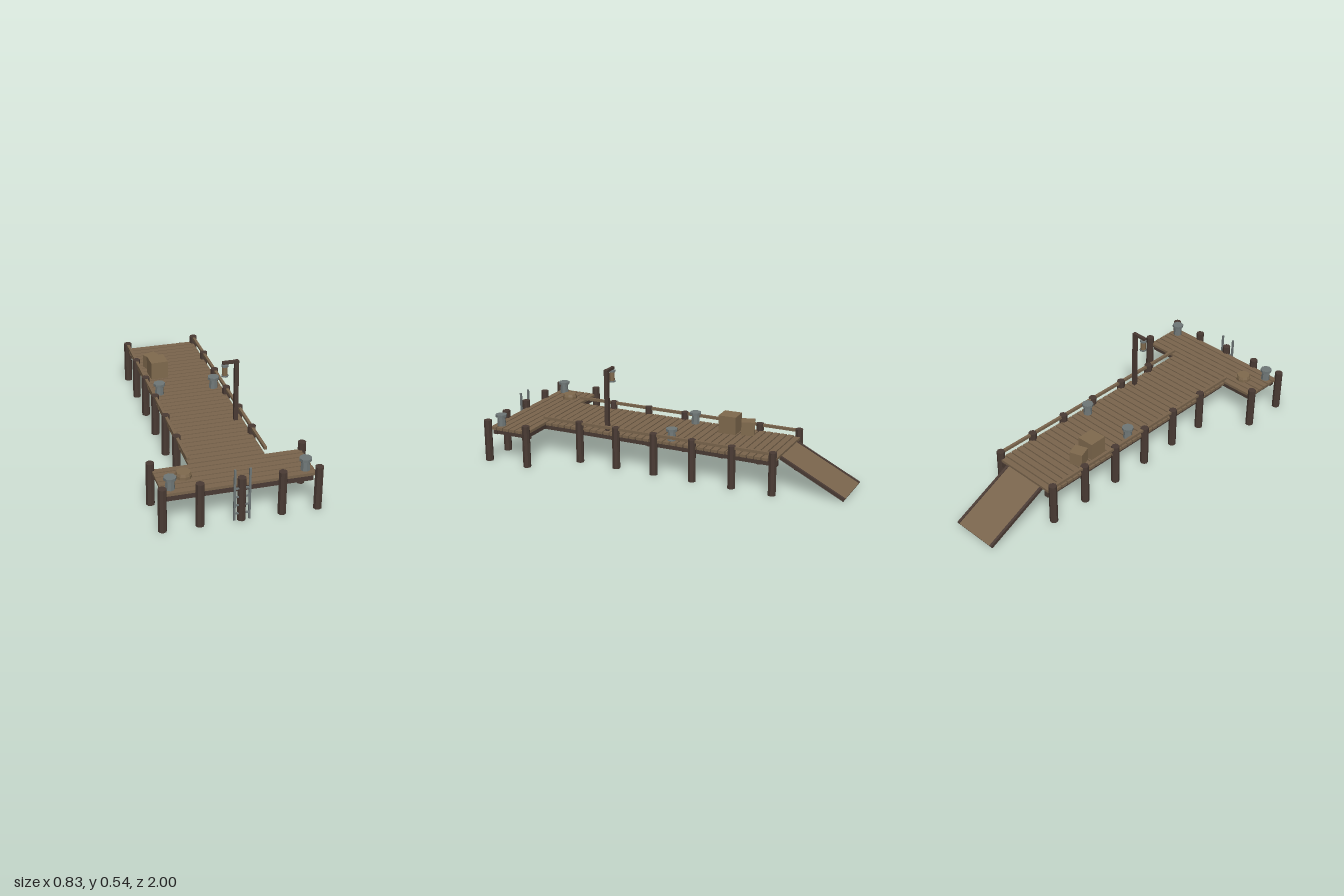
import * as THREE from 'three';

const mat = (name, color) => {
  const m = new THREE.MeshStandardMaterial({ color });
  m.name = name;
  m.flatShading = true;
  return m;
};

export function createModel() {
  const wood = mat('deck wood', 0x7a654d);
  const darkWood = mat('dark timber', 0x4a3b34);
  const crateWood = mat('crate wood', 0x806a4e);
  const metal = mat('grey metal', 0x6f7777);

  const root = new THREE.Group();
  root.name = 'jetty';
  const group = (name, parent = root) => {
    const g = new THREE.Group();
    g.name = name;
    parent.add(g);
    return g;
  };
  const add = (parent, name, geo, material, x, y, z) => {
    const m = new THREE.Mesh(geo, material);
    m.name = name;
    m.position.set(x, y, z);
    parent.add(m);
    return m;
  };
  const box = (parent, name, material, w, h, d, x, y, z) =>
    add(parent, name, new THREE.BoxGeometry(w, h, d), material, x, y, z);
  const cyl = (parent, name, material, rTop, rBottom, h, sides, x, y, z) =>
    add(parent, name, new THREE.CylinderGeometry(rTop, rBottom, h, sides), material, x, y, z);

  const deckY = 0.195, plankH = 0.015;

  // Walkway planks, laid across
  const walkway = group('walkway');
  const count = 34, z0 = -0.645, z1 = 0.725, pitch = (z1 - z0) / count;
  for (let i = 0; i < count; i++) {
    box(walkway, 'plank', wood, 0.395, plankH, pitch - 0.007,
      0, deckY - plankH / 2, z0 + (i + 0.5) * pitch);
  }
  for (const x of [-0.165, 0, 0.165]) {
    box(walkway, 'walkwayBeam', darkWood, 0.025, 0.03, 1.37, x, 0.165, 0.04);
  }

  // Wide head of the jetty, planks running along x
  const head = group('head');
  for (let i = 0; i < 6; i++) {
    box(head, 'headPlank', wood, 0.77, plankH, 0.033, 0, deckY - plankH / 2, 0.747 + i * 0.04);
  }
  for (const z of [0.755, 0.945]) {
    box(head, 'headBeam', darkWood, 0.74, 0.03, 0.025, 0, 0.165, z);
  }
  for (const x of [-0.35, 0, 0.35]) {
    box(head, 'headCrossBeam', darkWood, 0.025, 0.03, 0.19, x, 0.165, 0.85);
  }

  // Pilings
  const pilings = group('pilings');
  const piling = (x, z) => cyl(pilings, 'piling', darkWood, 0.022, 0.022, 0.235, 8, x, 0.1175, z);
  for (const x of [-0.392, -0.207, 0, 0.207, 0.392]) piling(x, 0.975);
  for (const side of [-1, 1]) {
    piling(side * 0.392, 0.73);
    for (let i = 0; i < 6; i++) piling(side * 0.2, 0.505 - i * 0.227);
    box(root, 'handrail', wood, 0.015, 0.015, 1.36, side * 0.2, 0.226, 0.05);
  }

  // Ramp down to the shore, with side curbs
  const ramp = group('ramp');
  const rise = 0.175, run = 0.352, len = Math.hypot(rise, run);
  ramp.position.set(0, 0.096, -0.82);
  ramp.rotation.x = -Math.atan2(rise, run);
  box(ramp, 'rampBoard', wood, 0.25, 0.012, len, 0, 0, 0);
  for (const side of [-1, 1]) {
    box(ramp, 'rampCurb', darkWood, 0.014, 0.018, len, side * 0.126, 0.001, 0);
  }

  // Mooring bollards
  for (const [x, z] of [[-0.34, 0.92], [0.34, 0.92], [-0.155, -0.035], [0.152, -0.035]]) {
    const bollard = group('bollard');
    bollard.position.set(x, deckY, z);
    cyl(bollard, 'bollardShaft', metal, 0.021, 0.025, 0.054, 8, 0, 0.027, 0);
    cyl(bollard, 'bollardCap', metal, 0.032, 0.032, 0.014, 8, 0, 0.059, 0);
  }

  // Cargo crates
  box(root, 'largeCrate', crateWood, 0.096, 0.1, 0.1, -0.11, deckY + 0.05, -0.263)
    .rotation.y = 0.03;
  box(root, 'smallCrate', crateWood, 0.073, 0.075, 0.073, -0.118, deckY + 0.0375, -0.366)
    .rotation.y = 0.35;

  // Coil of rope
  const coil = group('ropeCoil');
  cyl(coil, 'lowerCoil', crateWood, 0.042, 0.042, 0.016, 10, -0.25, deckY + 0.008, 0.83);
  cyl(coil, 'upperCoil', crateWood, 0.036, 0.04, 0.014, 10, -0.25, deckY + 0.022, 0.83);

  // Lamp post with hanging lantern
  const lamp = group('lampPost');
  lamp.position.z = 0.35;
  box(lamp, 'post', darkWood, 0.022, 0.345, 0.022, 0.161, 0.3675, 0);
  box(lamp, 'arm', darkWood, 0.087, 0.014, 0.018, 0.1285, 0.533, 0);
  cyl(lamp, 'lanternHook', metal, 0.004, 0.004, 0.01, 6, 0.099, 0.524, 0);
  cyl(lamp, 'lanternCap', metal, 0.019, 0.019, 0.01, 8, 0.099, 0.517, 0);
  cyl(lamp, 'lanternBody', crateWood, 0.015, 0.015, 0.05, 8, 0.099, 0.488, 0);
  cyl(lamp, 'lanternBase', metal, 0.019, 0.019, 0.008, 8, 0.099, 0.46, 0);

  // Ladder at the front
  const ladder = group('ladder');
  for (const side of [-1, 1]) {
    box(ladder, 'ladderRail', metal, 0.01, 0.282, 0.01, side * 0.038, 0.146, 0.984);
  }
  for (let i = 0; i < 4; i++) {
    box(ladder, 'rung', metal, 0.07, 0.008, 0.008, 0, 0.042 + i * 0.0465, 0.984);
  }

  return root;
}
